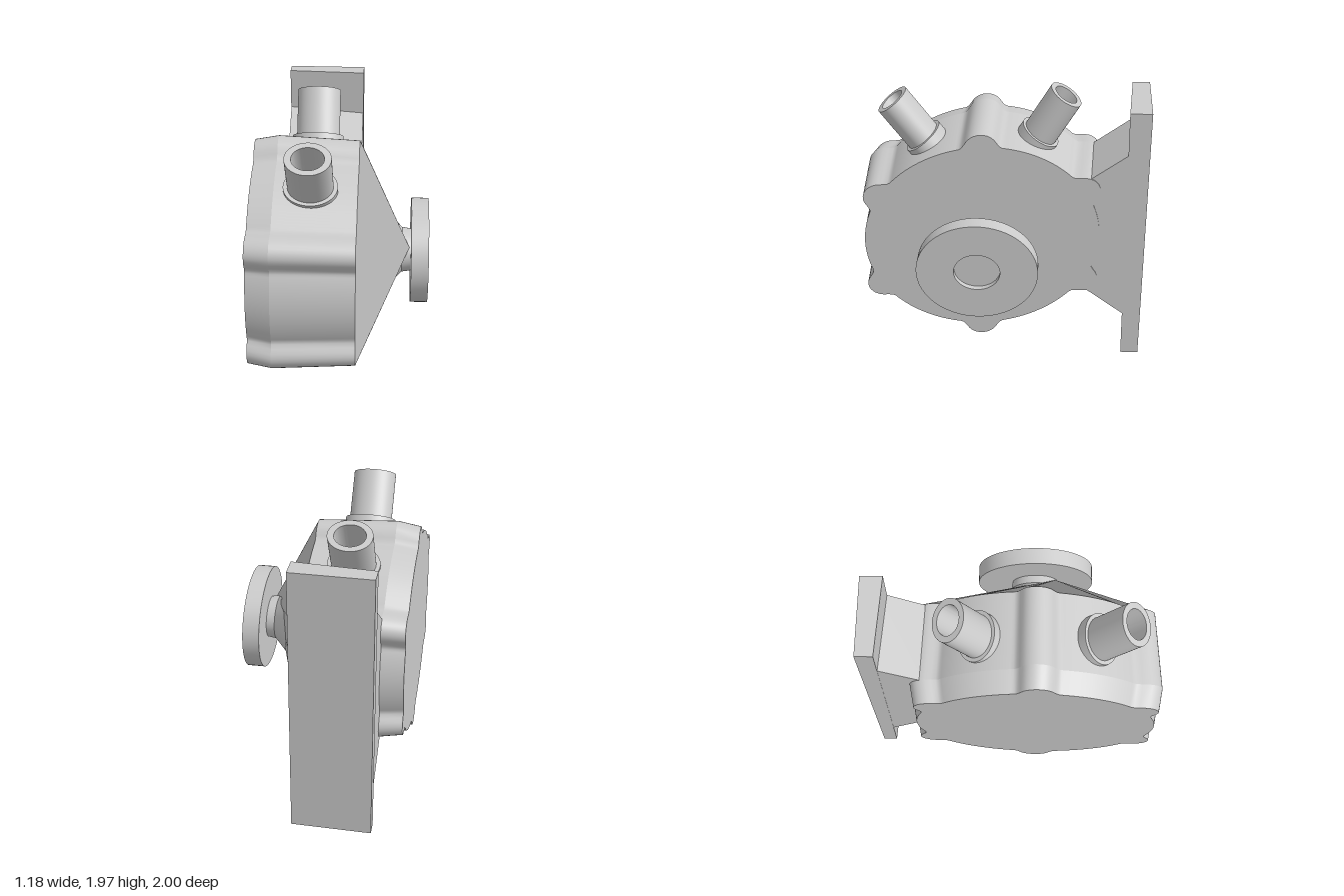
import * as THREE from 'three';
import { toCreasedNormals } from 'three/addons/utils/BufferGeometryUtils.js';

const CY = 0.94, CZ = 0.15, STRETCH = 1.165, SHEAR = -0.06, N = 240;
const material = new THREE.MeshStandardMaterial({ color: 0xcccccc });

function addMesh(parent, name, geometry) {
  const mesh = new THREE.Mesh(geometry, material);
  mesh.name = name;
  parent.add(mesh);
  return mesh;
}

// Round outline with six bolt lobes, as a list of [y, z] offsets from the axis
function makeOutline() {
  const R = 0.73, d = 0.72, lobe = 0.105, radii = [];
  for (let i = 0; i < N; i++) {
    const t = (i / N) * Math.PI * 2, step = Math.PI / 3;
    const a = t - Math.PI / 6 - Math.round((t - Math.PI / 6) / step) * step;
    const under = lobe * lobe - (d * Math.sin(a)) ** 2;
    radii.push(under > 0 ? Math.max(R, d * Math.cos(a) + Math.sqrt(under)) : R);
  }
  return radii.map((r, i) => {
    // Averaging neighbours rounds the junction of lobe and wall
    const s = (radii[(i + N - 1) % N] + 2 * r + radii[(i + 1) % N]) / 4;
    const t = (i / N) * Math.PI * 2, z = s * Math.cos(t) * STRETCH;
    return [s * Math.sin(t) + SHEAR * z, z];
  });
}

const outline = makeOutline();
const ringPoints = (x, s) => outline.map(([y, z]) => [x, CY + y * s, CZ + z * s]);

function indexed(points, index) {
  const g = new THREE.BufferGeometry();
  g.setAttribute('position', new THREE.Float32BufferAttribute(points.flat(), 3));
  g.setIndex(index);
  g.computeVertexNormals();
  return g;
}

// Side wall between two scaled outlines
function wall(x0, s0, x1, s1) {
  const index = [];
  for (let i = 0; i < N; i++) {
    const j = (i + 1) % N;
    index.push(i, i + N, j, j, i + N, j + N);
  }
  return indexed([...ringPoints(x0, s0), ...ringPoints(x1, s1)], index);
}

// Fan from one outline to a single point
function fan(x, s, apex, dir) {
  const index = [];
  for (let i = 0; i < N; i++) {
    const j = (i + 1) % N;
    index.push(N, dir > 0 ? j : i, dir > 0 ? i : j);
  }
  const g = indexed([...ringPoints(x, s), apex], index);
  const normal = g.attributes.normal;
  for (let i = 0; i <= N; i++) normal.setXYZ(i, dir, 0, 0);
  return g;
}

function lathe(profile) {
  const points = profile.map(([r, y]) => new THREE.Vector2(r, y));
  return toCreasedNormals(new THREE.LatheGeometry(points, 64), 0.6);
}

// Turned part lying along x on the main axis
function axial(parent, name, profile) {
  const g = lathe(profile);
  g.rotateZ(-Math.PI / 2);
  g.scale(1, 1, STRETCH);
  addMesh(parent, name, g).position.set(0, 0.95, CZ);
}

// Hollow pipe with a collar, leaning forward or back
function makePort(name, y, z, dy, dz) {
  const port = new THREE.Group();
  port.name = name;
  const length = Math.hypot(dy, dz);
  addMesh(port, 'pipe', lathe([
    [0.15, -0.06], [0.15, length], [0.105, length], [0.105, 0], [0, 0],
  ]));
  addMesh(port, 'collar', lathe([[0, -0.09], [0.178, -0.09], [0.178, 0.02], [0.14, 0.02]]));
  port.scale.z = 0.8;
  port.rotation.x = Math.atan2(dz, dy);
  port.position.set(-0.19, y, z);
  return port;
}

// Slightly skewed mounting plate
function plateGeometry() {
  const g = new THREE.BoxGeometry(0.54, 1.91, 0.13).toNonIndexed();
  const p = g.attributes.position;
  for (let i = 0; i < p.count; i++) {
    const right = p.getX(i) > 0, top = p.getY(i) > 0, front = p.getZ(i) > 0;
    p.setX(i, right ? 0.11 : -0.435);
    p.setY(i, top ? 1.91 : 0);
    p.setZ(i, front ? (right ? -0.84 : -0.88) - (top ? 0 : 0.025) : (right ? -0.99 : -1));
  }
  g.computeVertexNormals();
  return g;
}

// Flared block joining housing and plate, drawn as (-z, y)
function bracketGeometry() {
  const profile = [[0.35, 0.52], [0.6, 0.53], [0.9, 0.31], [0.9, 1.64], [0.6, 1.42], [0.35, 1.4]];
  const shape = new THREE.Shape(profile.map(([u, v]) => new THREE.Vector2(u, v)));
  const g = new THREE.ExtrudeGeometry(shape, { depth: 0.54, bevelEnabled: false });
  g.rotateY(Math.PI / 2);
  g.translate(-0.433, 0, 0);
  return g;
}

export function createModel() {
  const model = new THREE.Group();
  model.name = 'pump';

  // Lobed casing in two halves
  const cover = new THREE.Group();
  cover.name = 'cover';
  addMesh(cover, 'coverWall', wall(-0.59, 0.965, -0.43, 1));
  addMesh(cover, 'coverFace', fan(-0.59, 0.965, [-0.59, CY, CZ], -1));
  const housing = new THREE.Group();
  housing.name = 'housing';
  addMesh(housing, 'housingWall', wall(-0.43, 1, 0.115, 0.965));
  addMesh(housing, 'housingNose', fan(0.115, 0.965, [0.46, 1.03, 0.29], 1));
  model.add(cover, housing);

  // Shaft neck and drive flange
  axial(model, 'shaftNeck', [[0.26, 0.3], [0.15, 0.41], [0.14, 0.48]]);
  axial(model, 'driveFlange', [
    [0, 0.47], [0.35, 0.47], [0.35, 0.587], [0.133, 0.587], [0.133, 0.545], [0, 0.545],
  ]);

  // Pipes on top
  model.add(makePort('frontPort', 1.565, 0.56, 0.285, 0.215));
  model.add(makePort('rearPort', 1.61, -0.24, 0.3, -0.18));

  // Mount at the back
  addMesh(model, 'mountBracket', bracketGeometry());
  addMesh(model, 'mountPlate', plateGeometry());
  return model;
}
